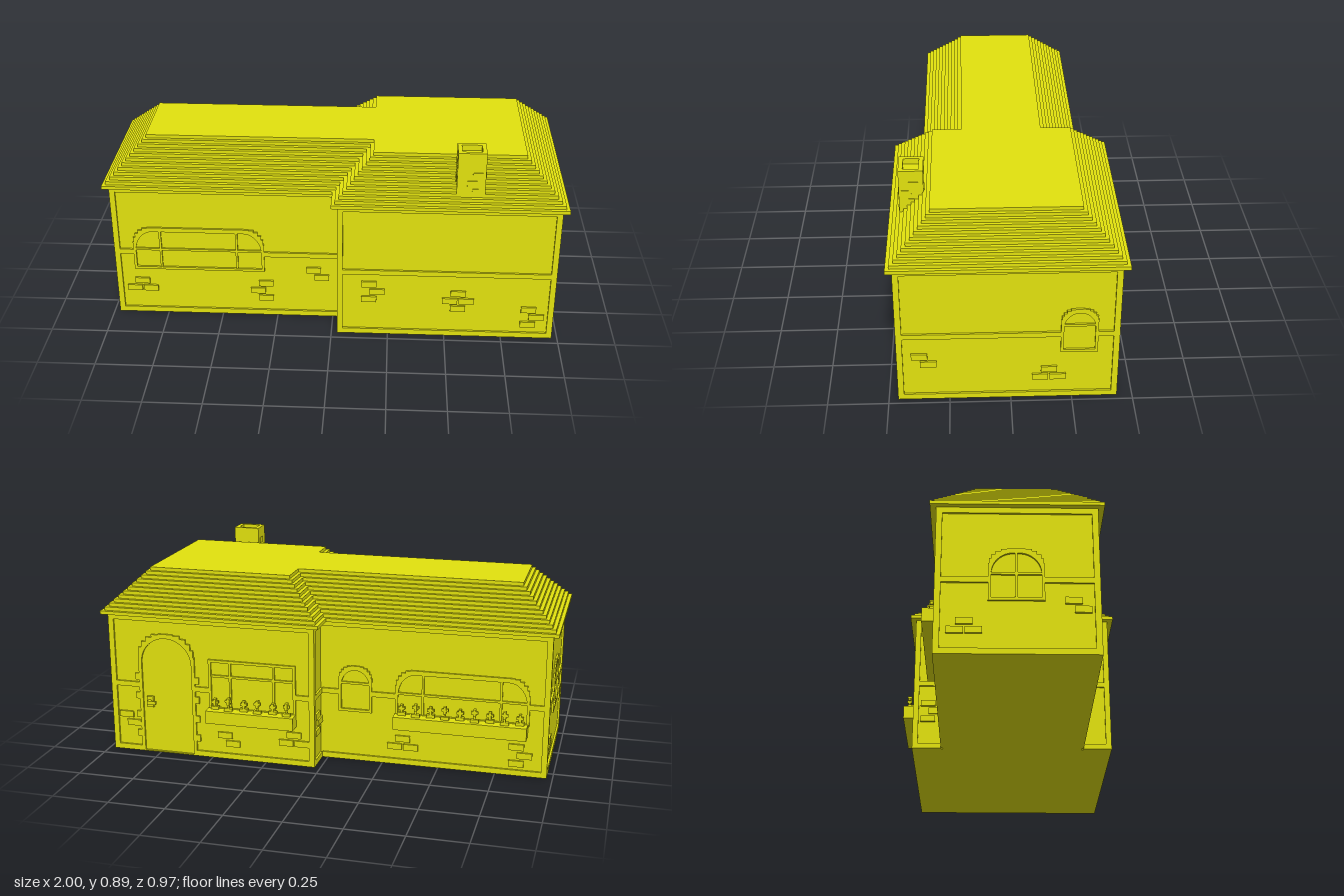
import * as THREE from 'three';

const material = new THREE.MeshStandardMaterial({ color: 0xe2e20e, flatShading: true, side: THREE.DoubleSide });
const DEPTH = 0.009; // how far trim stands out from the wall panels

function add(parent, name, geometry, x = 0, y = 0, z = 0) {
  const mesh = new THREE.Mesh(geometry, material);
  mesh.name = name;
  mesh.position.set(x, y, z);
  parent.add(mesh);
}

function addGroup(parent, name) {
  const group = new THREE.Group();
  group.name = name;
  parent.add(group);
  return group;
}

// Box given by its limits
function block(parent, name, x0, x1, y0, y1, z0, z1) {
  add(parent, name, new THREE.BoxGeometry(x1 - x0, y1 - y0, z1 - z0), (x0 + x1) / 2, (y0 + y1) / 2, (z0 + z1) / 2);
}

// Floor plan of the two wings, drawn inwards by d and extruded upwards
function slab(parent, name, d, y0, y1) {
  const plan = new THREE.Shape();
  plan.moveTo(-1 + d, -0.36 + d).lineTo(d, -0.36 + d).lineTo(d, -0.487 + d).lineTo(1 - d, -0.487 + d);
  plan.lineTo(1 - d, 0.462 - d).lineTo(d, 0.462 - d).lineTo(d, 0.332 - d).lineTo(-1 + d, 0.332 - d);
  const geometry = new THREE.ExtrudeGeometry(plan, { depth: y1 - y0, bevelEnabled: false });
  geometry.rotateX(-Math.PI / 2);
  add(parent, name, geometry, 0, y0, 0);
}

// Opening outline with rounded top corners; stepped gives brick-like jogs
function opening(x0, x1, y0, y1, rx, ry, stepped) {
  const n = stepped ? 6 : 12;
  const rise = (k) => y1 - ry + ry * Math.sin((k / n) * Math.PI / 2);
  const right = [];
  for (let k = 0; k <= n; k++) {
    const x = x1 - rx * (1 - Math.cos((k / n) * Math.PI / 2));
    right.push(new THREE.Vector2(x, rise(k)));
    if (stepped && k < n) right.push(new THREE.Vector2(x, rise(k + 1)));
  }
  const left = right.map((v) => new THREE.Vector2(x0 + x1 - v.x, v.y)).reverse();
  return [new THREE.Vector2(x0, y0), new THREE.Vector2(x1, y0), ...right, ...left]
    .filter((v, i, all) => i === 0 || v.distanceTo(all[i - 1]) > 1e-5);
}

// Raised surround between two outlines
function surround(parent, name, outer, inner, p) {
  const shape = new THREE.Shape(outer);
  shape.holes.push(new THREE.Path(inner));
  add(parent, name, new THREE.ExtrudeGeometry(shape, { depth: DEPTH, bevelEnabled: false }), 0, 0, p - DEPTH);
}

// Window: surround, vertical bars and one cross bar
function addWindow(wall, p, { x0, x1, top = 0.44, rx = 0, ry = 0, bars = [], cross }) {
  const group = addGroup(wall, 'window');
  const t = 0.012, y0 = 0.228, y1 = top - (rx ? 0.02 : t);
  surround(group, 'windowSurround', opening(x0, x1, y0, top, rx, ry, true),
    opening(x0 + t, x1 - t, y0 + t, y1, Math.max(rx - t, 0), ry, false), p);
  for (const x of bars) block(group, 'windowBar', x - 0.005, x + 0.005, y0 + t, y1, p - DEPTH, p - 0.001);
  block(group, 'windowCrossBar', x0 + t, x1 - t, cross - 0.005, cross + 0.005, p - DEPTH, p - 0.001);
}

// Arched door with brick jambs and a handle
function addDoor(wall, p, { x0, x1, top }) {
  const group = addGroup(wall, 'door');
  const r = (x1 - x0) / 2, t = 0.015;
  surround(group, 'doorSurround', opening(x0, x1, 0, top, r, r, true),
    opening(x0 + t, x1 - t, 0.005, top - 0.02, r - t, r - t, false), p);
  for (let y = 0.07; y < 0.4; y += 0.09) {
    for (const x of [x0 - 0.018, x1]) block(group, 'jambBrick', x, x + 0.018, y, y + 0.03, p - DEPTH, p);
  }
  const h = x0 + 0.05;
  block(group, 'handlePlate', h - 0.015, h + 0.015, 0.215, 0.265, p - DEPTH, p + 0.004);
  block(group, 'handleStem', h - 0.007, h + 0.007, 0.235, 0.25, p, p + 0.015);
  block(group, 'handleLever', h - 0.007, h + 0.035, 0.235, 0.25, p + 0.015, p + 0.025);
}

// Planter box with a row of blocky flowers
function addPlanter(wall, p, x0, x1, count) {
  const group = addGroup(wall, 'flowerBox');
  const base = 0.238;
  block(group, 'planter', x0, x1, 0.18, base, p - DEPTH, p + 0.05);
  for (let i = 0; i < count; i++) {
    const x = x0 + (x1 - x0) * (i + 0.5) / count;
    const lift = (i % 2) * 0.012, y = 0.27 + lift, z = p + 0.012 + lift;
    const part = (name, w, a, b, d) => block(group, name, x - w, x + w, a, b, z - d, z + d);
    part('stem', 0.004, base, y, 0.004);
    part('leaves', 0.018, base, base + 0.014, 0.008);
    part('blossom', 0.015, y - 0.006, y + 0.006, 0.006);
    part('blossom', 0.006, y - 0.016, y + 0.016, 0.01);
  }
}

// Loose bricks: each row lists its columns, rows going down from (x, y)
const PAIR = ['0', '+'], BEND = ['0', '+', '0'], BACKBEND = ['0', '-', '0'];
const PYRAMID = ['0', '-+'], DIAMOND = ['0', '-+', '0'];
const COLUMN = { '-': -1, 0: 0, '+': 1 };
function addBricks(wall, p, x, y, pattern) {
  pattern.forEach((row, i) => {
    for (const c of row) {
      const cx = x + COLUMN[c] * 0.036, cy = y - i * 0.038;
      block(wall, 'brick', cx - 0.033, cx + 0.033, cy - 0.014, cy + 0.014, p - DEPTH, p);
    }
  });
}

// One wall: trim beams and corner posts, with beams cut around openings.
// Local x runs along the wall, local z points outwards, p is the wall plane.
function addWall(house, name, turn, p, from, to, posts, { windows = [], doors = [] } = {}) {
  const wall = addGroup(house, name);
  wall.rotation.y = turn * Math.PI / 2;
  const z0 = p - DEPTH, w = 0.025;
  if (posts.includes('start')) block(wall, 'cornerPost', from, from + w, 0, 0.64, z0, p);
  if (posts.includes('end')) block(wall, 'cornerPost', to - w, to, 0, 0.64, z0, p);
  const beam = (y0, y1, gaps) => {
    let x = from;
    for (const gap of gaps) {
      block(wall, 'beam', x, gap.x0, y0, y1, z0, p);
      x = gap.x1;
    }
    block(wall, 'beam', x, to, y0, y1, z0, p);
  };
  beam(0, w, doors);
  beam(0.305, 0.328, [...doors, ...windows].sort((a, b) => a.x0 - b.x0));
  beam(0.615, 0.64, []);
  for (const v of windows) addWindow(wall, p, v);
  for (const d of doors) addDoor(wall, p, d);
  return (x, y, pattern) => addBricks(wall, p, x, y, pattern);
}

// Hollow-topped chimney with loose bricks
function addChimney(house) {
  const chimney = addGroup(house, 'chimney');
  const x0 = 0.525, x1 = 0.645, z0 = 0.34, z1 = 0.44, rim = 0.018, floor = 0.865, top = 0.89;
  block(chimney, 'stack', x0, x1, 0.64, floor, z0, z1);
  for (const x of [x0, x1 - rim]) block(chimney, 'rim', x, x + rim, floor, top, z0, z1);
  for (const z of [z0, z1 - rim]) block(chimney, 'rim', x0 + rim, x1 - rim, floor, top, z, z + rim);
  for (let i = 0; i < 3; i++) {
    const y = 0.713 + i * 0.038, shift = i % 2 ? -0.011 : 0.011;
    const out = 0.003, x = 0.6 + shift, z = 0.395 - shift * 1.3;
    block(chimney, 'brick', x - 0.021, x + 0.021, y - 0.013, y + 0.013, z0 - out, z1 + out);
    block(chimney, 'brick', x0 - out, x1 + out, y + 0.025, y + 0.051, z - 0.02, z + 0.02);
  }
}

export function createModel() {
  const house = new THREE.Group();
  house.name = 'house';
  slab(house, 'wallCore', 0.025 + DEPTH, 0, 0.645);

  // Roof of stepped courses
  const rise = 0.0154;
  for (let i = 0; i < 12; i++) slab(house, 'roofCourse', i * 0.0158, 0.64 + i * rise, 0.64 + (i + 1) * rise);

  // Window styles
  const small = { rx: 0.075, ry: 0.07, cross: 0.36 };
  const wide = { rx: 0.09, ry: 0.1, cross: 0.33 };
  const inner = 0.025, end = 0.975, front = 0.462, back = 0.437, narrowFront = 0.335, narrowBack = 0.307;

  // Front walls
  let bricks = addWall(house, 'frontWallNarrowWing', 0, narrowFront, -end, inner, ['start'],
    { windows: [{ x0: -0.89, x1: -0.305, ...wide, bars: [-0.767, -0.427] }] });
  bricks(-0.86, 0.165, PYRAMID);
  bricks(-0.3, 0.165, BACKBEND);
  bricks(-0.085, 0.24, PAIR);
  bricks = addWall(house, 'frontWallDeepWing', 0, front, inner, end, ['start', 'end']);
  bricks(0.165, 0.255, BEND);
  bricks(0.555, 0.217, DIAMOND);
  bricks(0.865, 0.143, BEND);

  // End walls
  bricks = addWall(house, 'leftEndWall', 1, end, -front, back, ['start', 'end'],
    { windows: [{ x0: 0.2, x1: 0.35, ...small }] });
  bricks(-0.37, 0.215, PAIR);
  bricks(0.155, 0.14, PYRAMID);
  bricks = addWall(house, 'rightEndWall', -1, end, -narrowBack, narrowFront, ['start', 'end'],
    { windows: [{ x0: -0.1, x1: 0.12, top: 0.455, rx: 0.1, ry: 0.09, bars: [0.01], cross: 0.345 }] });
  bricks(-0.19, 0.14, PYRAMID);
  bricks(0.23, 0.23, PAIR);

  // Back walls
  bricks = addWall(house, 'backWallDeepWing', 2, back, -end, -inner, ['start', 'end'], {
    windows: [{ x0: -0.51, x1: -0.11, top: 0.46, bars: [-0.41, -0.21], cross: 0.385 }],
    doors: [{ x0: -0.84, x1: -0.575, top: 0.56 }],
  });
  bricks(-0.91, 0.17, PAIR);
  bricks(-0.44, 0.11, PAIR);
  bricks(-0.12, 0.14, PYRAMID);
  bricks = addWall(house, 'backWallNarrowWing', 2, narrowBack, -inner, end, ['end'],
    { windows: [{ x0: 0.05, x1: 0.2, ...small }, { x0: 0.305, x1: 0.89, ...wide, bars: [0.427, 0.767] }] });
  bricks(0.34, 0.12, PYRAMID);
  bricks(0.84, 0.13, BEND);
  addPlanter(house.getObjectByName('backWallDeepWing'), back, -0.51, -0.11, 6);
  addPlanter(house.getObjectByName('backWallNarrowWing'), narrowBack, 0.305, 0.885, 9);

  // Short walls where the wings meet
  addWall(house, 'frontReturnWall', -1, -inner, narrowFront, front, ['end']);
  bricks = addWall(house, 'backReturnWall', -1, -inner, -back, -narrowBack, ['start']);
  bricks(-0.37, 0.22, BEND);

  addChimney(house);
  return house;
}
